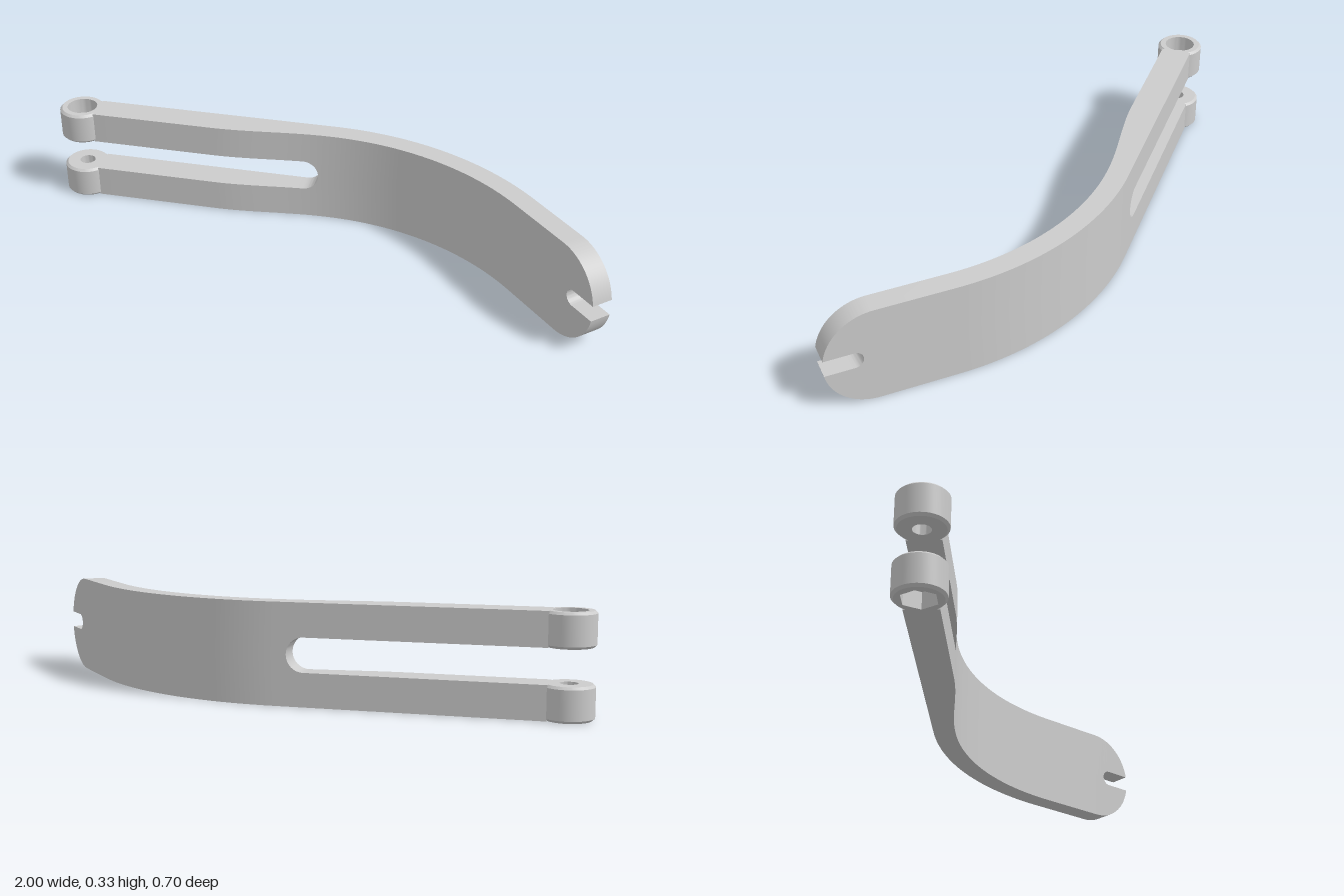
import * as THREE from 'three';
import { toCreasedNormals } from 'three/addons/utils/BufferGeometryUtils.js';

const H = 0.1665;                       // half height
const GAP = 0.056, GAP_X = -0.1;        // fork slot half height, centre of its round end
const NOTCH = 0.028;                    // end notch half height
const R = 0.975, ANGLE = 0.8325, THICK = 0.073;
const ARC = R * ANGLE, END = ARC + 0.416;
const START = -0.862, BACK = -0.325;
const PIVOT = { x: -0.92, z: -0.272 };
const EYE_H = H - GAP;

const circ = (r, d) => Math.sqrt(Math.max(0, r * r - d * d));

// Plan position at length u along the bar, on its front or back face
function plan(u, front) {
  if (u <= 0) {
    const t = THREE.MathUtils.smoothstep(u, -0.42, -0.01);
    return [u, front ? -0.22 - (THICK - 0.041 + 0.0) * t : BACK];
  }
  const a = Math.min(u, ARC) / R, r = front ? R - THICK : R;
  const rest = Math.max(0, u - ARC);
  return [r * Math.sin(a) + rest * Math.cos(a), BACK + R - r * Math.cos(a) + rest * Math.sin(a)];
}

// Outer and inner half height of the bar at length u
const outer = u => (u < END - H ? H : circ(H, u - (END - H)));
const notchC = END - 0.125 + NOTCH;
function inner(u) {
  if (u < GAP_X) return GAP;
  if (u < GAP_X + GAP) return circ(GAP, u - GAP_X);
  if (u < notchC - NOTCH) return 0;
  return u < notchC ? circ(NOTCH, u - notchC) : NOTCH;
}

function stations() {
  const list = [START, -0.42, GAP_X, GAP_X + GAP, 0, ARC, END - H, notchC, notchC - NOTCH];
  const tip = END - H + circ(H, NOTCH);
  for (let u = -0.4; u < 0; u += 0.02) list.push(u);
  for (let i = 1; i < 40; i++) list.push(ARC * i / 40);
  for (let i = 1; i < 10; i++) {
    const a = i / 10 * Math.PI / 2;
    list.push(GAP_X + GAP * Math.sin(a), notchC - NOTCH * Math.sin(a));
  }
  const last = Math.asin((tip - (END - H)) / H);
  for (let i = 1; i < 20; i++) list.push(END - H + H * Math.sin(last * i / 20));
  list.push(tip);
  return list.sort((a, b) => a - b).filter((u, i, all) => i === 0 || u - all[i - 1] > 1e-5);
}

// Curved bar with fork slot and notched round end, mirrored about mid height
function barGeometry() {
  const pos = [];
  const us = stations();
  for (const side of [1, -1]) {
    const pt = (u, front, h) => {
      const [x, z] = plan(u, front);
      return [x, H + side * h, z];
    };
    const quad = (a, b, c, d) => {
      const tris = side > 0 ? [a, b, c, a, c, d] : [a, c, b, a, d, c];
      tris.forEach(p => pos.push(...p));
    };
    const ring = u => ({
      fi: pt(u, true, inner(u)), fo: pt(u, true, outer(u)),
      bi: pt(u, false, inner(u)), bo: pt(u, false, outer(u)), open: inner(u) > 0,
    });
    const rings = us.map(ring);
    for (let i = 0; i < rings.length - 1; i++) {
      const p = rings[i], q = rings[i + 1];
      quad(p.fi, q.fi, q.fo, p.fo);
      quad(q.bi, p.bi, p.bo, q.bo);
      quad(p.fo, q.fo, q.bo, p.bo);
      if (p.open || q.open) quad(p.bi, q.bi, q.fi, p.fi);
    }
    const s = rings[0];
    quad(s.bi, s.fi, s.fo, s.bo);
  }
  const g = new THREE.BufferGeometry();
  g.setAttribute('position', new THREE.Float32BufferAttribute(pos, 3));
  return toCreasedNormals(g, 0.5);
}

const lathe = pts => toCreasedNormals(
  new THREE.LatheGeometry(pts.map(p => new THREE.Vector2(...p)), 48), 0.5);

// Disc with a polygonal hole, lying flat from y = 0
function piercedDisc(r, holeR, sides, depth) {
  const shape = new THREE.Shape().absarc(0, 0, r, 0, Math.PI * 2);
  const hole = [];
  for (let i = 0; i < sides; i++) {
    const a = -i / sides * Math.PI * 2;
    hole.push(new THREE.Vector2(holeR * Math.cos(a), holeR * Math.sin(a)));
  }
  shape.holes.push(new THREE.Path(hole));
  const g = new THREE.ExtrudeGeometry(shape, { depth, bevelEnabled: false, curveSegments: 24 });
  return toCreasedNormals(g.rotateX(-Math.PI / 2), 0.5);
}

export function createModel() {
  const model = new THREE.Group();
  model.name = 'forkedLever';
  const mat = new THREE.MeshStandardMaterial({ color: 0xcccccc });
  const add = (parent, name, geo, y = 0) => {
    const m = new THREE.Mesh(geo, mat);
    m.name = name;
    m.position.y = y;
    parent.add(m);
  };
  const eye = (name, y) => {
    const g = new THREE.Group();
    g.name = name;
    g.position.set(PIVOT.x, y, PIVOT.z);
    model.add(g);
    return g;
  };

  add(model, 'curvedBar', barGeometry());

  // Chamfered outside shared by both pivot eyes
  const c = 0.008, r = 0.08;
  const skin = [[r - c, 0], [r, c], [r, EYE_H - c], [r - c, EYE_H]];

  // Upper eye with a round counterbore
  add(eye('upperEye', H + GAP), 'counterboredEye', lathe([
    [0.028, 0], ...skin, [0.053, EYE_H], [0.053, 0.055], [0.028, 0.055], [0.028, 0]]));

  // Lower eye with a hexagonal pocket underneath
  const lower = eye('lowerEye', 0);
  add(lower, 'eyeWall', lathe(skin));
  add(lower, 'hexPocket', piercedDisc(r - c, 0.057, 6, 0.055));
  add(lower, 'pivotHole', piercedDisc(r - c, 0.028, 32, EYE_H - 0.055), 0.055);

  return model;
}
